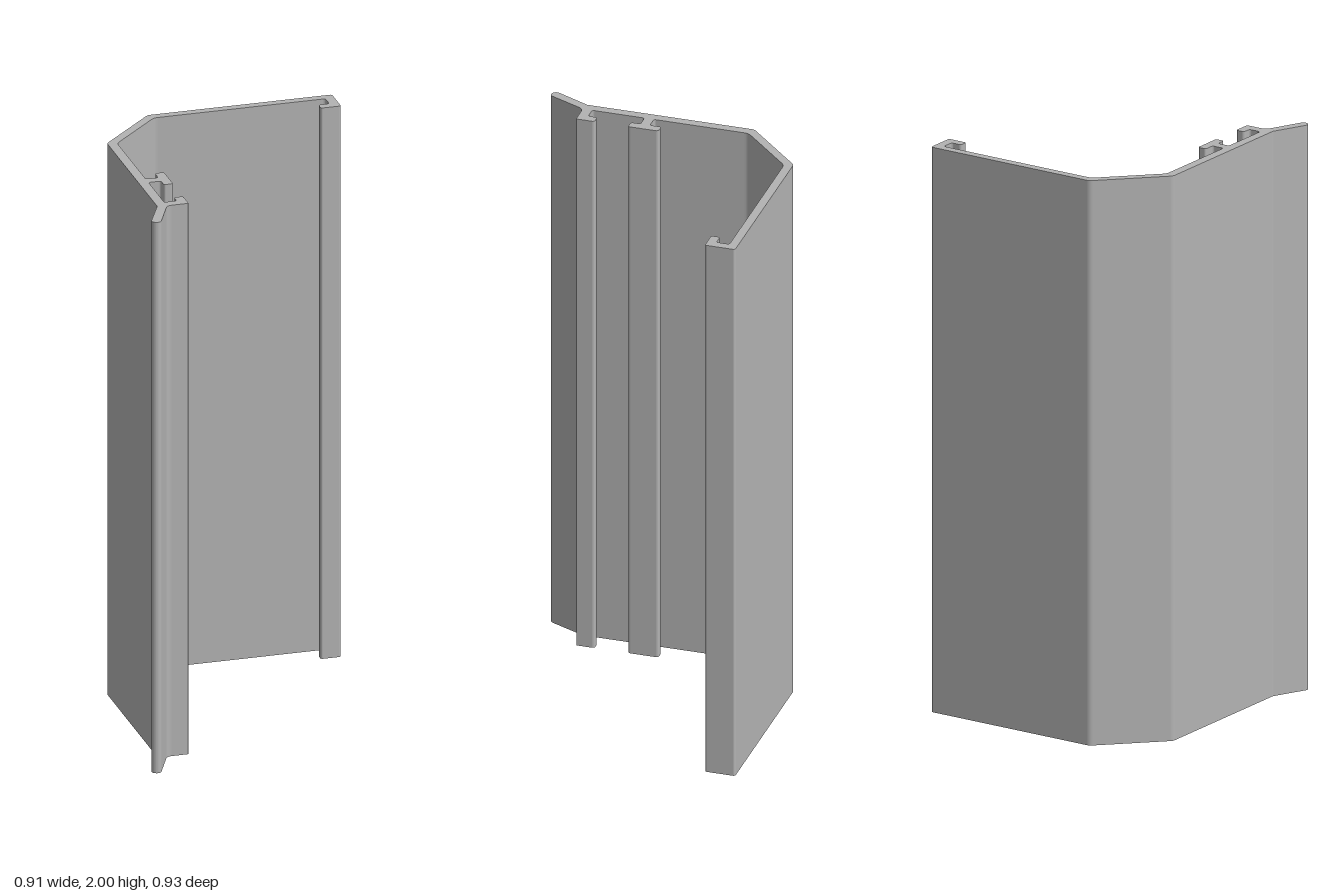
import * as THREE from 'three';

const HEIGHT = 2;

// Closed outline from [x, z, cornerRadius] points, each corner rounded by a near-circular arc.
function roundedOutline(points) {
  const shape = new THREE.Shape();
  const n = points.length;
  const at = (i) => new THREE.Vector2(points[(i + n) % n][0], -points[(i + n) % n][1]);
  for (let i = 0; i < n; i++) {
    const corner = at(i);
    const back = at(i - 1).sub(corner).normalize();
    const ahead = at(i + 1).sub(corner).normalize();
    const turn = Math.PI - Math.acos(THREE.MathUtils.clamp(back.dot(ahead), -1, 1));
    const r = points[i][2];
    const reach = r * Math.tan(turn / 2);
    const handle = reach - (4 / 3) * Math.tan(turn / 4) * r;
    const p = (dir, d) => corner.clone().addScaledVector(dir, d);
    const start = p(back, reach), c1 = p(back, handle), c2 = p(ahead, handle), end = p(ahead, reach);
    if (i === 0) shape.moveTo(start.x, start.y);
    else shape.lineTo(start.x, start.y);
    shape.bezierCurveTo(c1.x, c1.y, c2.x, c2.y, end.x, end.y);
  }
  shape.closePath();
  return shape;
}

export function createModel() {
  const group = new THREE.Group();
  group.name = 'extrudedRail';

  const aluminium = new THREE.MeshStandardMaterial({ color: 0xb3b3b3 });
  aluminium.name = 'aluminium grey';

  const s = 0.008; // small corner radius
  const outline = [
    // outer face: back wall, chamfer, side wall
    [0.452, -0.467, s], [-0.196, -0.467, 0.025], [-0.399, -0.264, 0.025], [-0.399, 0.327, 0.01],
    // flared lip with a round tip
    [-0.4603, 0.458, 0.0165], [-0.4296, 0.472, 0.0165], [-0.366, 0.332, 0.025],
    // hooked rib
    [-0.29, 0.332, 0.004], [-0.29, 0.267, s], [-0.322, 0.267, s], [-0.322, 0.299, s], [-0.366, 0.299, s],
    // T-shaped rib
    [-0.366, 0.114, s], [-0.322, 0.114, s], [-0.322, 0.148, s], [-0.29, 0.148, s],
    [-0.29, 0.041, s], [-0.322, 0.041, s], [-0.322, 0.081, s], [-0.366, 0.081, s],
    // inner face of side wall, chamfer and back wall
    [-0.366, -0.254, 0.035], [-0.183, -0.437, 0.035], [0.42, -0.437, s],
    // returned hook at the far edge
    [0.42, -0.391, s], [0.381, -0.391, s], [0.381, -0.36, s], [0.452, -0.36, s],
  ];

  // Extrude along the shape's z, then stand it upright
  const geometry = new THREE.ExtrudeGeometry(roundedOutline(outline), {
    depth: HEIGHT, bevelEnabled: false, curveSegments: 6,
  });
  geometry.rotateX(-Math.PI / 2);

  const profile = new THREE.Mesh(geometry, aluminium);
  profile.name = 'railProfile';
  group.add(profile);
  return group;
}
